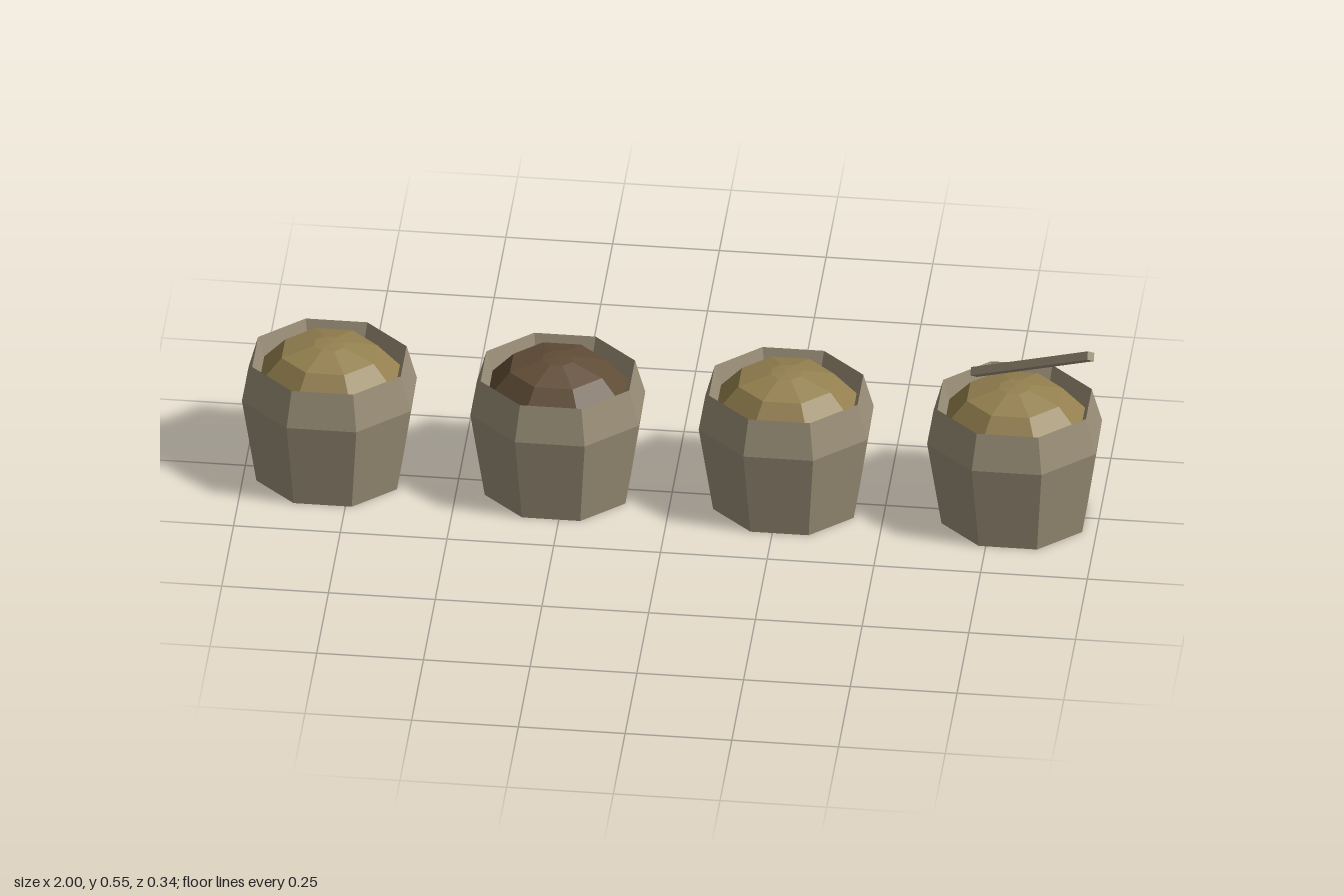
import * as THREE from 'three';

const mat = (name, color) => new THREE.MeshStandardMaterial({ name, color, flatShading: true });

// Eight-sided faceted solid from a profile of [half depth, height] points
function octagonal(profile) {
  const k = 1 / Math.cos(Math.PI / 8);
  const points = profile.map(([r, y]) => new THREE.Vector2(r * k, y));
  const lathe = new THREE.LatheGeometry(points, 8, Math.PI / 8);
  lathe.scale(1.16, 1, 1);
  const geometry = lathe.toNonIndexed();
  geometry.computeVertexNormals();
  return geometry;
}

export function createModel() {
  const model = new THREE.Group();
  model.name = 'sacksOfGoods';

  const cloth = mat('sackCloth', 0x9b8f78);
  const grain = mat('goldenGrain', 0x94804f);
  const beans = mat('darkBeans', 0x614d37);

  // Sack: base, belly, rim, then the inner wall down to a hidden floor
  const sackGeometry = octagonal([
    [0, 0], [0.142, 0], [0.17, 0.23], [0.15, 0.322], [0.136, 0.265], [0, 0.265],
  ]);
  // Heaped contents
  const heapGeometry = octagonal([
    [0.137, 0.272], [0.093, 0.336], [0.03, 0.358], [0, 0.361],
  ]);

  [grain, beans, grain, grain].forEach((filling, i) => {
    const group = new THREE.Group();
    group.name = 'filledSack' + (i + 1);
    const sack = new THREE.Mesh(sackGeometry, cloth);
    sack.name = 'sack';
    const heap = new THREE.Mesh(heapGeometry, filling);
    heap.name = 'contents';
    group.add(sack, heap);
    group.position.x = -0.803 + i * 0.535;
    model.add(group);
  });

  // Scoop handle stuck in the last sack
  const handle = new THREE.Mesh(new THREE.BoxGeometry(0.02, 0.42, 0.02), cloth);
  handle.name = 'scoopHandle';
  handle.rotation.set(Math.PI / 4, 0, -Math.PI / 4);
  handle.position.set(0.845, 0.433, 0.012);
  model.add(handle);

  return model;
}
